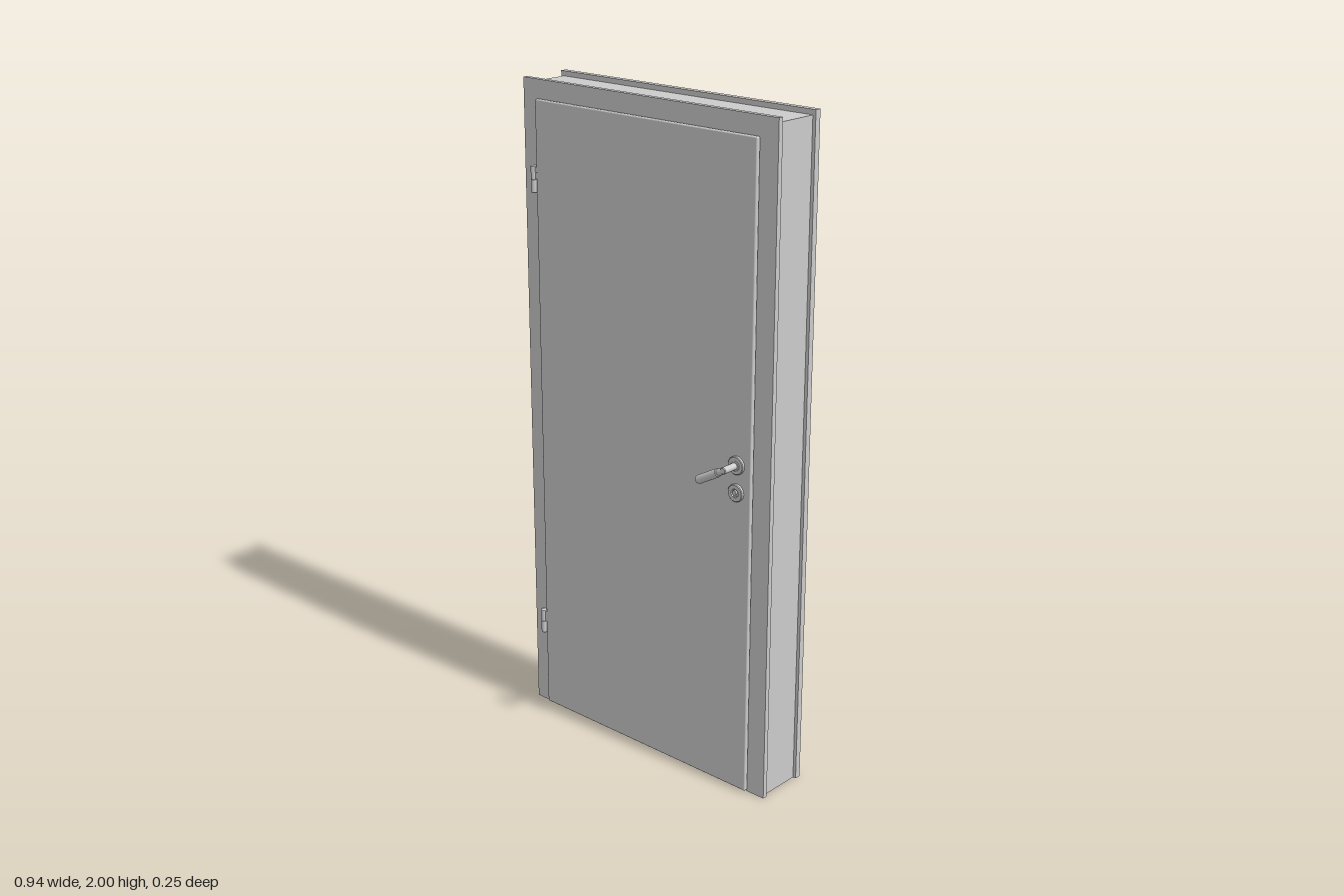
import * as THREE from 'three';
import { RoundedBoxGeometry } from 'three/addons/geometries/RoundedBoxGeometry.js';

const material = new THREE.MeshStandardMaterial({ color: 0xcccccc });

function add(parent, name, geometry, x = 0, y = 0, z = 0) {
  const mesh = new THREE.Mesh(geometry, material);
  mesh.name = name;
  mesh.position.set(x, y, z);
  parent.add(mesh);
  return mesh;
}

// Three-sided door surround, open at the floor
function surround(outX, outTop, inX, inTop, z0, z1) {
  const points = [
    [-outX, 0], [-inX, 0], [-inX, inTop], [inX, inTop],
    [inX, 0], [outX, 0], [outX, outTop], [-outX, outTop],
  ].map(([x, y]) => new THREE.Vector2(x, y));
  const geometry = new THREE.ExtrudeGeometry(new THREE.Shape(points), { depth: z1 - z0, bevelEnabled: false });
  return geometry.translate(0, 0, z0);
}

// Turned profile [radius, distance], with its axis along +z and crisp steps
function turned(profile, segments = 32) {
  const points = [];
  profile.forEach(([r, d], i) => {
    points.push(new THREE.Vector2(r, d));
    if (i > 0 && i < profile.length - 1) points.push(new THREE.Vector2(r, d));
  });
  return new THREE.LatheGeometry(points, segments).rotateX(Math.PI / 2);
}

// Lever, rose and key escutcheon, standing out from z = 0 towards +z
function handleSet(name) {
  const set = new THREE.Group();
  set.name = name;
  const handleY = 1.025, keyY = 0.943, reach = 0.051;

  add(set, 'handleRose', turned([[0, 0], [0.027, 0], [0.027, 0.007], [0.025, 0.009], [0.015, 0.009], [0.015, 0.012], [0, 0.012]]), 0, handleY);
  add(set, 'handleNeck', turned([[0, 0], [0.01, 0], [0.01, reach + 0.009], [0.008, reach + 0.011], [0, reach + 0.011]], 24), 0, handleY);

  const lever = new THREE.Group();
  lever.name = 'lever';
  lever.position.set(0, handleY, reach);
  lever.rotation.z = Math.PI / 6.2;
  const along = (profile) => turned(profile, 24).rotateY(-Math.PI / 2);
  add(lever, 'leverStem', along([[0, 0], [0.01, 0], [0.01, 0.03], [0, 0.03]]));
  add(lever, 'leverGrip', along([[0, 0.027], [0.011, 0.027], [0.013, 0.029], [0.013, 0.108], [0.011, 0.113], [0, 0.114]]));
  set.add(lever);

  add(set, 'keyRose', turned([[0, 0], [0.026, 0], [0.026, 0.007], [0.024, 0.009], [0.013, 0.009], [0.011, 0.005], [0, 0.005]]), 0, keyY);
  add(set, 'keyCylinder', turned([[0, 0], [0.007, 0], [0.007, 0.011], [0, 0.011]], 20), 0, keyY + 0.002);
  add(set, 'keyCylinderTail', new THREE.BoxGeometry(0.006, 0.012, 0.009), 0, keyY - 0.005, 0.0055);
  return set;
}

// Two-knuckle hinge with a leaf reaching the door edge
function hinge(name, y) {
  const group = new THREE.Group();
  group.name = name;
  group.position.set(-0.426, y, 0.055);
  for (const side of [-1, 1]) {
    add(group, 'knuckle', new THREE.CylinderGeometry(0.009, 0.009, 0.037, 20), 0, side * 0.0193, 0);
    const cap = add(group, 'knuckleCap', new THREE.SphereGeometry(0.009, 20, 8, 0, Math.PI * 2, 0, Math.PI / 2), 0, side * 0.0378, 0);
    cap.scale.y = 0.35;
    if (side < 0) cap.rotation.x = Math.PI;
  }
  add(group, 'hingePin', new THREE.CylinderGeometry(0.006, 0.006, 0.06, 16));
  add(group, 'hingeLeaf', new THREE.BoxGeometry(0.02, 0.034, 0.005), 0.01, 0.0193, 0);
  add(group, 'frameLeaf', new THREE.BoxGeometry(0.006, 0.034, 0.016), 0, -0.0193, -0.006);
  return group;
}

export function createModel() {
  const model = new THREE.Group();
  model.name = 'door';

  // Frame: lining between two casings
  const frame = new THREE.Group();
  frame.name = 'frame';
  add(frame, 'lining', surround(0.46, 1.985, 0.4, 1.932, -0.108, 0.03));
  add(frame, 'frontCasing', surround(0.47, 2, 0.405, 1.938, 0.029, 0.045));
  add(frame, 'backCasing', surround(0.47, 2, 0.41, 1.94, -0.127, -0.108));
  model.add(frame);

  // Rebated door leaf: core inside the lining, lip over the casing
  const leaf = new THREE.Group();
  leaf.name = 'leaf';
  add(leaf, 'leafCore', new THREE.BoxGeometry(0.796, 1.922, 0.034), 0, 0.968, 0.033);
  add(leaf, 'leafLip', new RoundedBoxGeometry(0.822, 1.938, 0.014, 3, 0.004), 0, 0.976, 0.053);
  model.add(leaf);

  // Handles on both faces
  const front = handleSet('frontHandleSet');
  front.position.set(0.362, 0, 0.06);
  const back = handleSet('backHandleSet');
  back.position.set(0.362, 0, 0.016);
  back.scale.z = -1;
  model.add(front, back);

  model.add(hinge('upperHinge', 1.71), hinge('lowerHinge', 0.287));
  return model;
}
